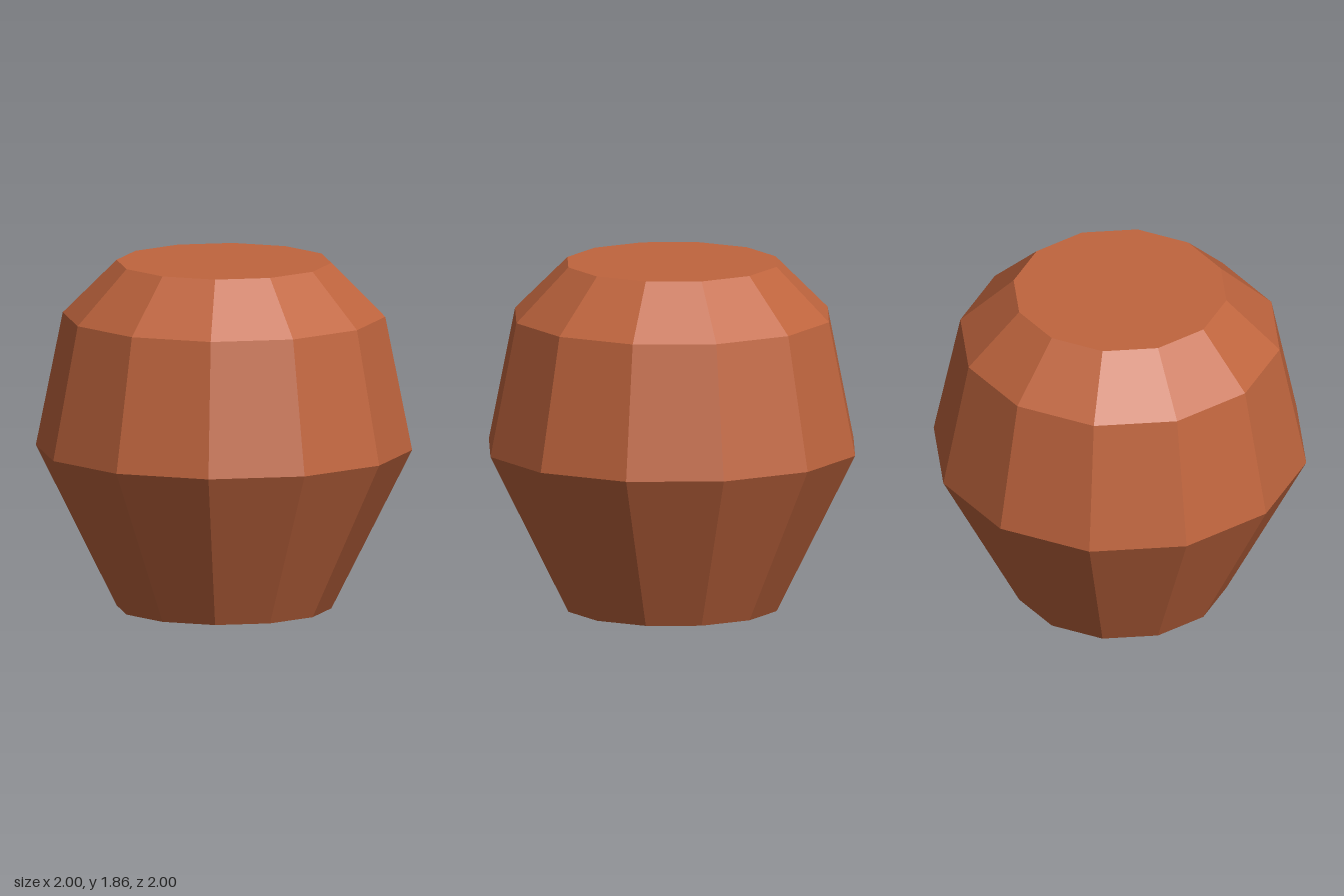
import * as THREE from 'three';

const SIDES = 12;

export function createModel() {
  const group = new THREE.Group();
  group.name = 'pot';

  const terracotta = new THREE.MeshStandardMaterial({ color: 0xc0653e, flatShading: true });
  terracotta.name = 'terracotta';

  const add = (name, geometry) => {
    const mesh = new THREE.Mesh(geometry, terracotta);
    mesh.name = name;
    group.add(mesh);
    return mesh;
  };

  // Twelve-sided wall of one tier, without end faces
  const addTier = (name, bottomRadius, topRadius, y0, y1) => {
    const geometry = new THREE.CylinderGeometry(topRadius, bottomRadius, y1 - y0, SIDES, 1, true);
    add(name, geometry).position.y = (y0 + y1) / 2;
  };

  // Tapered base, widening to the belly, then the upper body and sloped shoulder
  addTier('base', 0.571, 1, 0, 0.857);
  addTier('upperBody', 1, 0.857, 0.857, 1.571);
  addTier('shoulder', 0.857, 0.571, 1.571, 1.857);

  // Flat ends
  const top = add('topFace', new THREE.CircleGeometry(0.571, SIDES));
  top.rotation.x = -Math.PI / 2;
  top.position.y = 1.857;

  const bottom = add('bottomFace', new THREE.CircleGeometry(0.571, SIDES));
  bottom.rotation.x = Math.PI / 2;

  return group;
}
